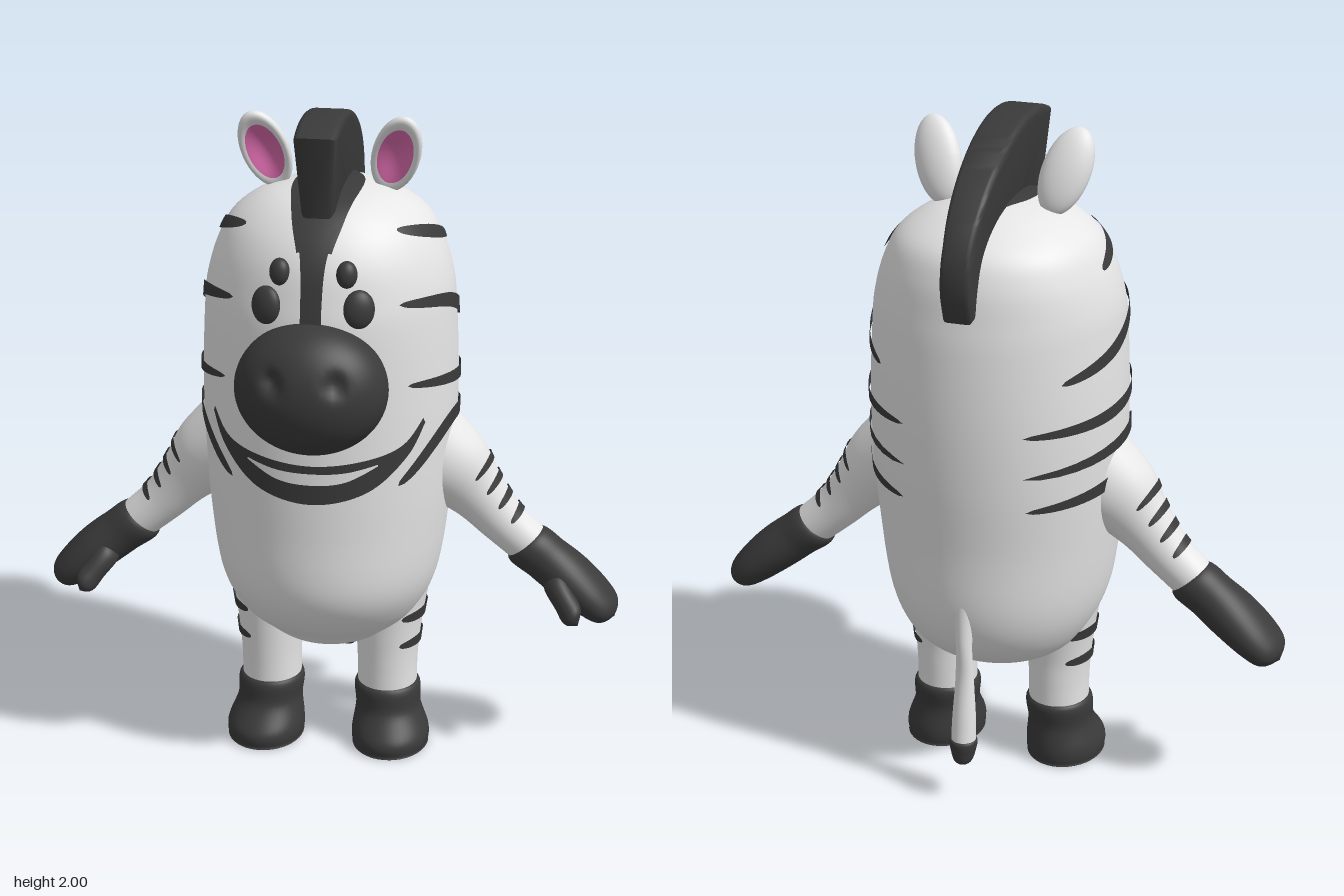
import * as THREE from 'three';
import { toCreasedNormals } from 'three/addons/utils/BufferGeometryUtils.js';

const V = (x, y, z) => new THREE.Vector3(x, y, z);
const makeMat = (name, color) => {
  const m = new THREE.MeshStandardMaterial({ color, side: THREE.DoubleSide });
  m.name = name;
  return m;
};

// Indexed grid surface; at(u, v) gives a point, wrap closes it around v
function grid(at, nu, nv, wrap) {
  const pos = [], idx = [], cols = wrap ? nv : nv + 1;
  for (let i = 0; i <= nu; i++) for (let j = 0; j < cols; j++) pos.push(...at(i / nu, j / nv).toArray());
  for (let i = 0; i < nu; i++) for (let j = 0; j < nv; j++) {
    const k = (j + 1) % cols, a = i * cols + j, b = i * cols + k;
    idx.push(a, b, a + cols, b, b + cols, a + cols);
  }
  const g = new THREE.BufferGeometry();
  g.setAttribute('position', new THREE.Float32BufferAttribute(pos, 3));
  g.setIndex(idx);
  g.computeVertexNormals();
  return g;
}

// Smooth tube of elliptical rings [x, y, z, radius along axis, radius along z]
function loft(rings, axis = V(1, 0, 0), nu = 40, nv = 40) {
  const c = new THREE.CatmullRomCurve3(rings.map(r => V(r[0], r[1], r[2])), false, 'catmullrom');
  const r = new THREE.CatmullRomCurve3(rings.map(p => V(p[3], p[4], 0)), false, 'catmullrom');
  const at = (u, ang, lift = 0) => {
    const p = c.getPoint(u), q = r.getPoint(u);
    p.addScaledVector(axis, (Math.max(q.x, 0) + lift) * Math.cos(ang));
    p.z += (Math.max(q.y, 0) + lift) * Math.sin(ang);
    return p;
  };
  return { c, r, at, geo: grid((u, v) => at(u, v * Math.PI * 2), nu, nv, true) };
}

// Thin plate between two 2D edges, laid on a surface by map(a, b)
function decal(map, edgeA, edgeB, nu = 32, nv = 6) {
  const A = new THREE.SplineCurve(edgeA.map(p => new THREE.Vector2(...p)));
  const B = new THREE.SplineCurve(edgeB.map(p => new THREE.Vector2(...p)));
  return grid((u, v) => {
    const p = A.getPoint(u).lerp(B.getPoint(u), v);
    return map(p.x, p.y);
  }, nu, nv, false);
}

// Tapered stripe of half width w along a 2D line
function stripe(map, pts, w) {
  const c = new THREE.SplineCurve(pts.map(p => new THREE.Vector2(...p)));
  return grid((u, v) => {
    const p = c.getPoint(u), t = c.getTangent(u);
    const s = w * Math.sqrt(Math.max(Math.sin(Math.PI * u), 0)) * (v * 2 - 1);
    return map(p.x - t.y * s, p.y + t.x * s);
  }, 30, 4, false);
}

function mirrored(geo) {
  const g = geo.clone().scale(-1, 1, 1), a = g.index.array;
  for (let i = 0; i < a.length; i += 3) [a[i], a[i + 1]] = [a[i + 1], a[i]];
  g.computeVertexNormals();
  return g;
}

export function createModel() {
  const group = new THREE.Group();
  const white = makeMat('white', 0xe6e6e6);
  const dark = makeMat('charcoal', 0x3a3a3a);
  const pink = makeMat('pink', 0xdc6cae);
  const add = (name, geo, mat) => {
    const m = new THREE.Mesh(geo, mat);
    m.name = name;
    group.add(m);
  };
  const pair = (name, geo, mat) => {
    add(name + 'Left', geo, mat);
    add(name + 'Right', mirrored(geo), mat);
  };

  // Body and head in one rounded form: y, x radius, z radius, z centre
  const body = loft([
    [1.78, 0, 0, -.06], [1.77, .1, .11, -.06], [1.74, .2, .2, -.06], [1.68, .285, .28, -.07],
    [1.6, .33, .325, -.065], [1.5, .36, .348, -.06], [1.4, .37, .362, -.058], [1.2, .378, .37, -.06],
    [1, .375, .37, -.057], [.8, .36, .363, -.05], [.6, .332, .355, -.048], [.48, .285, .3, -.06],
    [.4, .22, .21, -.07], [.355, .13, .13, -.05], [.345, 0, 0, -.05],
  ].map(([y, rx, rz, z]) => [0, y, z, rx, rz]), V(1, 0, 0), 84, 72);
  add('body', body.geo, white);

  // Find the body surface from an inside point along a direction
  const inside = p => {
    if (p.y > 1.779 || p.y < .346) return false;
    let lo = 0, hi = 1;
    for (let i = 0; i < 22; i++) {
      const m = (lo + hi) / 2;
      if (body.c.getPoint(m).y > p.y) lo = m; else hi = m;
    }
    const r = body.r.getPoint(lo), z = body.c.getPoint(lo).z;
    return (p.x / r.x) ** 2 + ((p.z - z) / r.y) ** 2 < 1;
  };
  const project = (o, d, lift) => {
    let lo = 0, hi = 1;
    for (let i = 0; i < 18; i++) {
      const m = (lo + hi) / 2;
      if (inside(o.clone().addScaledVector(d, m))) lo = m; else hi = m;
    }
    return o.clone().addScaledVector(d, lo + lift);
  };
  const onFront = (x, y, lift = .006) => project(V(x, y, -.055), V(0, 0, 1), lift);
  const onSide = (z, y) => project(V(0, y, z), V(1, 0, 0), .007);
  const onTop = (x, z) => project(V(x, 1.2, z), V(0, 1, 0), .006);

  // Side stripes as (z, y) lines
  [
    [[[.12, 1.68], [0, 1.65], [-.13, 1.61]], .019],
    [[[.21, 1.49], [.04, 1.46], [-.15, 1.38], [-.32, 1.325]], .022],
    [[[.21, 1.25], [0, 1.22], [-.2, 1.195], [-.39, 1.18]], .02],
    [[[.23, .95], [.13, 1.05], [.03, 1.1], [-.1, 1.095], [-.39, 1.055]], .024],
    [[[.03, .97], [-.04, 1], [-.2, .975], [-.38, .95]], .021],
  ].forEach(([pts, w], i) => pair('sideStripe' + i, stripe(onSide, pts, w), dark));

  // Forehead blaze, over the face and the crown
  const face = [[.032, 1.38], [.03, 1.5], [.037, 1.62], [.062, 1.71]];
  const crown = [[.05, .24], [.075, .17], [.1, .03], [.095, -.08], [.05, -.17]];
  const flip = pts => pts.map(([a, b]) => [-a, b]);
  add('blaze', decal(onFront, face, flip(face)), dark);
  add('crownPatch', decal(onTop, crown, flip(crown), 32, 10), dark);

  // Smile and the pale band inside it
  add('mouth', decal(onFront,
    [[-.305, 1.14], [-.255, 1.075], [-.16, 1.045], [0, 1.03], [.16, 1.045], [.255, 1.075], [.305, 1.14]],
    [[-.31, 1.125], [-.265, 1.035], [-.16, .945], [0, .912], [.16, .945], [.265, 1.035], [.31, 1.125]], 48, 8), dark);
  add('teeth', decal((x, y) => onFront(x, y, .01),
    [[-.19, 1.03], [-.1, 1.012], [0, 1.008], [.1, 1.012], [.19, 1.03]],
    [[-.19, 1.025], [-.1, .983], [0, .973], [.1, .983], [.19, 1.025]]), white);

  // Snout with two dented nostrils
  const snout = new THREE.SphereGeometry(1, 64, 48).scale(.22, .194, .165).translate(0, 1.258, .29);
  const sp = snout.attributes.position;
  for (let i = 0; i < sp.count; i++) {
    const dx = Math.abs(sp.getX(i)) - .09, dy = sp.getY(i) - 1.315;
    if (sp.getZ(i) > .3) sp.setZ(i, sp.getZ(i) - .03 * Math.exp(-(dx * dx / .0005 + dy * dy / .0009)));
  }
  snout.computeVertexNormals();
  add('snout', snout, dark);

  // Eyes and the brow spots above them
  [['eye', .132, 1.49, .045, .055], ['brow', .095, 1.585, .03, .039]].forEach(([name, x, y, rx, ry]) => {
    const p = onFront(x, y, 0);
    pair(name, new THREE.SphereGeometry(1, 28, 20).scale(rx, ry, .026)
      .rotateY(.35).rotateX(-.15).translate(p.x, p.y, p.z), dark);
  });

  // Ears: spheres hollowed on the front, with a pink lining
  const ear = (theta, lift) => {
    const g = new THREE.SphereGeometry(1, 40, 32, 0, Math.PI * 2, 0, theta).rotateX(Math.PI / 2);
    const p = g.attributes.position;
    for (let i = 0; i < p.count; i++) {
      const z = p.getZ(i);
      if (z > 0) p.setZ(i, z * (1 - 1.3 * z * z) + lift);
    }
    g.scale(.07, .13, .042).rotateX(.33).rotateZ(-.3).translate(.19, 1.857, -.045);
    g.computeVertexNormals();
    return g;
  };
  pair('ear', ear(Math.PI, 0), white);
  pair('earLining', ear(.8, .09), pink);

  // Mane crest: side outline in (z, y), rounded and narrowing downwards
  const outline = new THREE.Shape();
  outline.moveTo(.175, 1.745);
  outline.lineTo(.21, 1.95);
  outline.bezierCurveTo(.1, 1.995, -.06, 1.98, -.2, 1.905);
  outline.bezierCurveTo(-.36, 1.82, -.45, 1.7, -.425, 1.58);
  outline.lineTo(-.41, 1.535);
  outline.lineTo(-.375, 1.54);
  outline.bezierCurveTo(-.33, 1.68, -.2, 1.74, -.05, 1.74);
  outline.lineTo(.175, 1.745);
  const mane = new THREE.ExtrudeGeometry(outline, {
    depth: .09, bevelSize: .02, bevelThickness: .02, bevelSegments: 4, curveSegments: 24,
  }).translate(0, 0, -.045).rotateY(-Math.PI / 2);
  const mp = mane.attributes.position;
  for (let i = 0; i < mp.count; i++) {
    mp.setX(i, mp.getX(i) * THREE.MathUtils.clamp(.7 + (mp.getY(i) - 1.73) * 1.11, .7, 1));
  }
  add('mane', toCreasedNormals(mane, .7), dark);

  // Arms with bands, mitten hands and thumbs
  const slant = V(.7071, .7071, 0);
  const arm = loft([
    [.25, .97, -.06, .17, .15], [.37, .9, -.06, .125, .115], [.445, .825, -.065, .09, .085],
    [.52, .74, -.068, .072, .07], [.61, .66, -.07, .066, .066],
  ], slant);
  pair('arm', arm.geo, white);
  [.36, .5, .63, .76].forEach((u, i) => pair('armStripe' + i,
    stripe((a, b) => arm.at(b, a, .005), [[-1.1, u + .015], [0, u], [1.1, u + .015]], .028), dark));
  pair('hand', loft([
    [.58, .68, -.07, 0, 0], [.59, .672, -.07, .069, .069], [.66, .62, -.07, .073, .08],
    [.73, .565, -.07, .072, .095], [.8, .505, -.07, .062, .098], [.845, .465, -.07, .045, .075],
    [.868, .445, -.07, 0, 0],
  ], slant).geo, dark);
  pair('thumb', loft([
    [.67, .6, -.02, 0, 0], [.68, .58, -.01, .035, .04], [.72, .53, .03, .036, .04],
    [.748, .493, .055, .034, .035], [.765, .465, .062, 0, 0],
  ], slant, 24, 24).geo, dark);

  // Legs with outer bands, and hooves
  const leg = loft([
    [.18, .55, -.045, .13, .13], [.185, .45, -.04, .107, .11], [.182, .35, -.036, .097, .1],
    [.181, .27, -.036, .092, .098], [.181, .19, -.036, .091, .098],
  ]);
  pair('leg', leg.geo, white);
  [.27, .5].forEach((u, i) => pair('legStripe' + i,
    stripe((a, b) => leg.at(b, a, .006), [[-1.1, u], [0, u - .02], [1.1, u]], .05), dark));
  pair('hoof', loft([
    [.181, .2, -.036, 0, 0], [.181, .2, -.036, .094, .1], [.186, .12, -.028, .1, .108],
    [.195, .05, -.008, .118, .142], [.196, .01, -.006, .117, .142], [.196, 0, -.006, .105, .13],
    [.196, 0, -.006, 0, 0],
  ]).geo, dark);

  // Tail and its tuft
  add('tail', loft([
    [0, .66, -.37, .035, .035], [0, .52, -.388, .024, .026], [0, .4, -.385, .027, .025],
    [0, .27, -.392, .035, .034], [0, .19, -.398, .037, .038],
  ]).geo, white);
  add('tailTip', loft([
    [0, .2, -.398, 0, 0], [0, .2, -.398, .039, .04], [0, .16, -.402, .036, .036],
    [0, .13, -.406, .024, .024], [0, .12, -.408, 0, 0],
  ]).geo, dark);

  return group;
}
